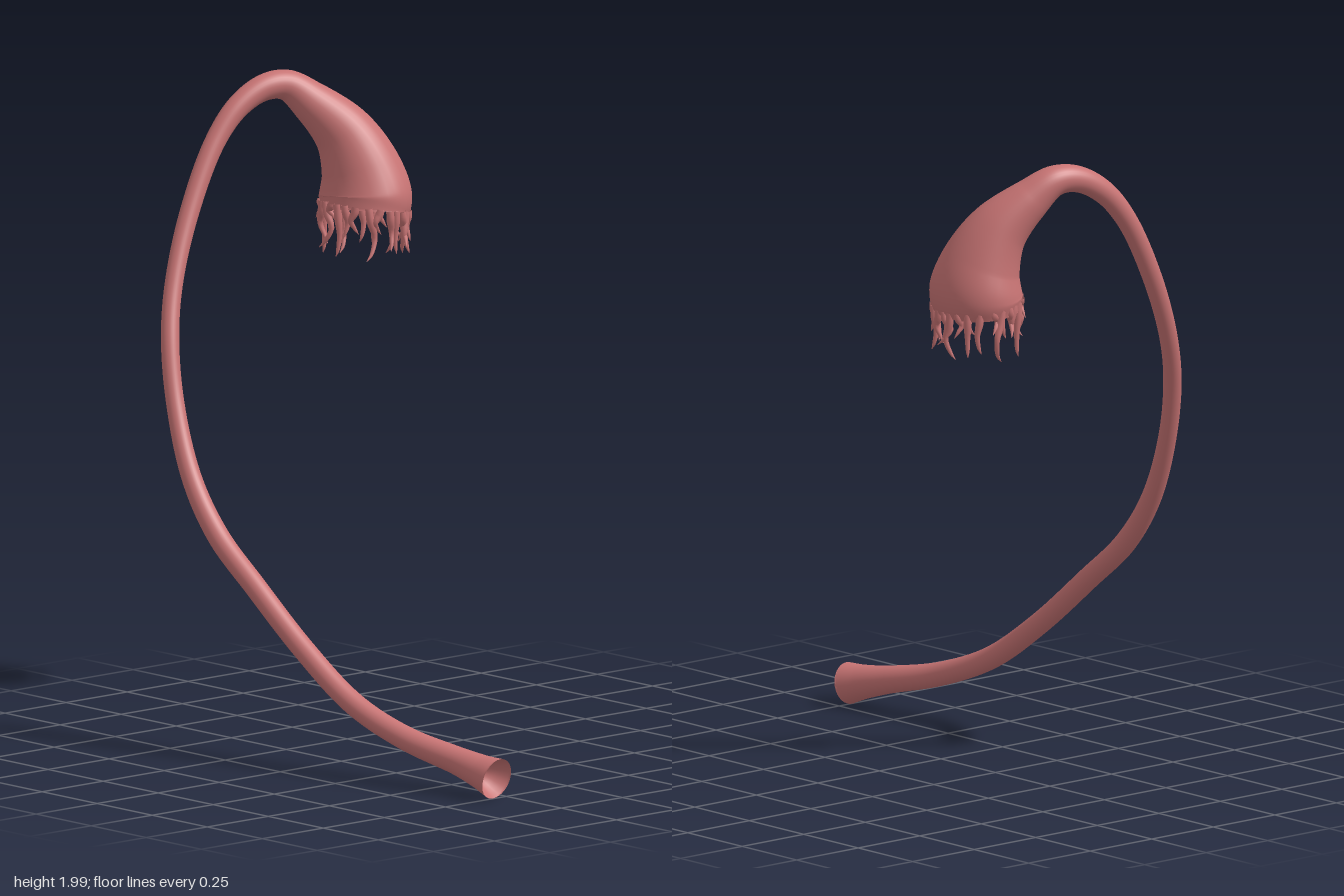
import * as THREE from 'three';

const material = new THREE.MeshStandardMaterial({ color: 0xc87474, side: THREE.DoubleSide });

// Sweeps a round section along stations [x, y, z, radius, squash];
// squash widens the ring along x and narrows it along z.
function sweep(name, stations, steps, sides) {
  const path = new THREE.CatmullRomCurve3(stations.map(s => new THREE.Vector3(s[0], s[1], s[2])));
  const size = new THREE.CatmullRomCurve3(
    stations.map(s => new THREE.Vector3(s[3], s[4] || 0, 0)), false, 'catmullrom', 0.5);
  const positions = [], index = [];
  const normal = new THREE.Vector3(0.31, 0.52, 0.79);
  for (let i = 0; i <= steps; i++) {
    const t = i / steps;
    const centre = path.getPoint(t), tangent = path.getTangent(t), s = size.getPoint(t);
    normal.addScaledVector(tangent, -normal.dot(tangent)).normalize();
    const binormal = new THREE.Vector3().crossVectors(tangent, normal);
    for (let j = 0; j < sides; j++) {
      const a = (j / sides) * Math.PI * 2;
      const p = normal.clone().multiplyScalar(Math.cos(a) * s.x)
        .addScaledVector(binormal, Math.sin(a) * s.x);
      positions.push(centre.x + p.x * (1 + s.y), centre.y + p.y, centre.z + p.z * (1 - s.y));
      if (i < steps) {
        const k = (j + 1) % sides, row = i * sides, next = row + sides;
        index.push(row + j, row + k, next + j, row + k, next + k, next + j);
      }
    }
  }
  const geometry = new THREE.BufferGeometry();
  geometry.setAttribute('position', new THREE.Float32BufferAttribute(positions, 3));
  geometry.setIndex(index);
  geometry.computeVertexNormals();
  const mesh = new THREE.Mesh(geometry, material);
  mesh.name = name;
  return mesh;
}

export function createModel() {
  const group = new THREE.Group();
  group.name = 'fringedTube';

  // Long curved duct, from the flared open end to the bulbous head
  group.add(sweep('duct', [
    [0.76, 0.07, 0.3, 0.064], [0.7, 0.083, 0.305, 0.053], [0.6, 0.105, 0.316, 0.043],
    [0.4, 0.152, 0.352, 0.037], [0.2, 0.232, 0.38, 0.035], [0, 0.37, 0.4, 0.034],
    [-0.2, 0.54, 0.42, 0.034], [-0.36, 0.68, 0.432, 0.034], [-0.48, 0.84, 0.43, 0.031],
    [-0.585, 1.05, 0.402, 0.028],
  ].concat([
    [-0.65, 1.24, 0.365, 0.028], [-0.695, 1.4, 0.308, 0.028],
    [-0.73, 1.6, 0.213, 0.03], [-0.742, 1.8, 0.098, 0.032], [-0.733, 1.9, 0.01, 0.036],
    [-0.713, 1.95, -0.08, 0.041], [-0.69, 1.95, -0.15, 0.048], [-0.65, 1.895, -0.215, 0.065],
    [-0.59, 1.8, -0.29, 0.094, 0.04], [-0.555, 1.7, -0.325, 0.122, 0.06],
    [-0.54, 1.615, -0.335, 0.143, 0.08], [-0.535, 1.565, -0.327, 0.139, 0.08],
  ]), 220, 32));

  // Funnel inside the flared end, narrowing to a small passage
  group.add(sweep('endFunnel', [
    [0.76, 0.07, 0.3, 0.064], [0.73, 0.077, 0.304, 0.05],
    [0.69, 0.086, 0.308, 0.03], [0.6, 0.105, 0.316, 0.022],
  ], 16, 24));

  // Lining of the head, from the rim up into the neck
  group.add(sweep('headLining', [
    [-0.535, 1.565, -0.327, 0.139, 0.08], [-0.54, 1.615, -0.333, 0.126, 0.08],
    [-0.555, 1.7, -0.325, 0.1, 0.06], [-0.59, 1.8, -0.29, 0.07, 0.04],
    [-0.65, 1.895, -0.215, 0.04],
  ], 24, 32));

  // Ragged finger-like fringe hanging from the rim
  const fringe = new THREE.Group();
  fringe.name = 'fringe';
  const count = 26;
  for (let i = 0; i < count; i++) {
    const a = ((i + 0.25 * Math.sin(i * 5.3)) / count) * Math.PI * 2;
    const length = 0.095 + 0.04 * Math.sin(i * 2.4) + 0.02 * Math.sin(i * 4.1 + 1);
    const bend = 0.02 * Math.sin(i * 3.7);
    const c = Math.cos(a), s = Math.sin(a);
    const station = (r, drop, side, radius) => [
      -0.535 + c * r * 1.08 - s * side,
      1.58 + s * 0.02 - drop,
      -0.327 + s * r * 0.92 + c * side,
      radius,
    ];
    fringe.add(sweep('fringeFinger', [
      station(0.134, 0, 0, 0.012),
      station(0.133, length * 0.3, bend * 0.3, 0.013),
      station(0.13 + bend * 0.3, length * 0.65, bend, 0.009),
      station(0.132 - bend * 0.5, length, bend * 0.4, 0.006),
      station(0.136 - bend, length + 0.02, -bend * 0.4, 0.0008),
    ], 14, 8));
  }
  group.add(fringe);
  return group;
}
